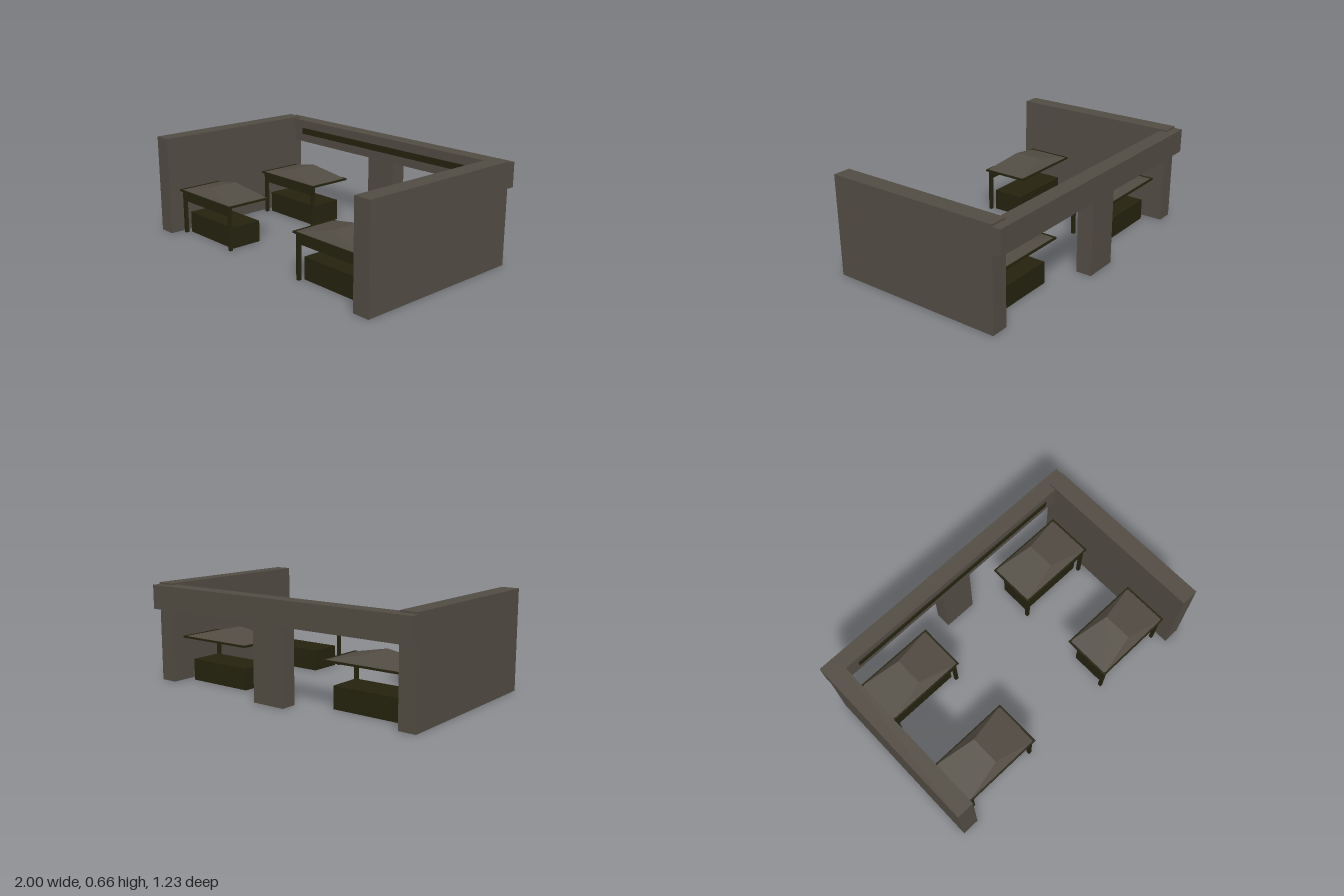
import * as THREE from 'three';
import { ConvexGeometry } from 'three/addons/geometries/ConvexGeometry.js';

const stone = new THREE.MeshStandardMaterial({ color: 0x524c43 });
stone.name = 'stone';
const darkWood = new THREE.MeshStandardMaterial({ color: 0x25230f });
darkWood.name = 'darkWood';

// Box given by its limits on each axis
function block(name, material, [x0, x1], [y0, y1], [z0, z1]) {
  const mesh = new THREE.Mesh(new THREE.BoxGeometry(x1 - x0, y1 - y0, z1 - z0), material);
  mesh.position.set((x0 + x1) / 2, (y0 + y1) / 2, (z0 + z1) / 2);
  mesh.name = name;
  return mesh;
}

// Market stall: counter, two front posts, valance, rim and hipped roof
function createStall() {
  const stall = new THREE.Group();
  stall.name = 'stall';
  stall.add(block('counter', darkWood, [-0.235, 0.235], [0, 0.143], [-0.11, 0.11]));
  for (const s of [-1, 1]) {
    const x = s * 0.252;
    stall.add(block('post', darkWood, [x - 0.011, x + 0.011], [0, 0.295], [0.128, 0.15]));
  }
  stall.add(block('valance', darkWood, [-0.255, 0.255], [0.23, 0.295], [0.136, 0.15]));

  // Open rim around the eaves
  const w = 0.28, d = 0.161, t = 0.012;
  for (const s of [-1, 1]) {
    const x = s * (w - t / 2), z = s * (d - t / 2);
    stall.add(block('rimEnd', darkWood, [x - t / 2, x + t / 2], [0.29, 0.302], [-d, d]));
    stall.add(block('rimSide', darkWood, [-w + t, w - t], [0.29, 0.302], [z - t / 2, z + t / 2]));
  }

  // Hipped roof with its ridge running front to back
  const points = [];
  for (const sz of [-1, 1]) {
    points.push(new THREE.Vector3(0, 0.36, sz * 0.098));
    for (const sx of [-1, 1]) points.push(new THREE.Vector3(sx * (w - 0.006), 0.298, sz * (d - 0.006)));
  }
  const roof = new THREE.Mesh(new ConvexGeometry(points), stone);
  roof.name = 'roof';
  stall.add(roof);
  return stall;
}

export function createModel() {
  const model = new THREE.Group();
  model.name = 'marketHall';

  // Side walls
  model.add(block('rightWall', stone, [-1, -0.885], [0, 0.657], [-0.557, 0.613]));
  model.add(block('leftWall', stone, [0.885, 1], [0, 0.657], [-0.557, 0.613]));

  // Back beam on a central pillar, with a blank sign strip
  model.add(block('backBeam', stone, [-1, 1], [0.487, 0.645], [-0.613, -0.507]));
  model.add(block('pillar', stone, [-0.115, 0.115], [0, 0.487], [-0.613, -0.507]));
  model.add(block('signStrip', darkWood, [-0.8, 0.8], [0.545, 0.588], [-0.508, -0.5]));

  // Four stalls in two rows
  for (const x of [-0.588, 0.588]) {
    for (const z of [-0.325, 0.381]) {
      const stall = createStall();
      stall.position.set(x, 0, z);
      model.add(stall);
    }
  }
  return model;
}
